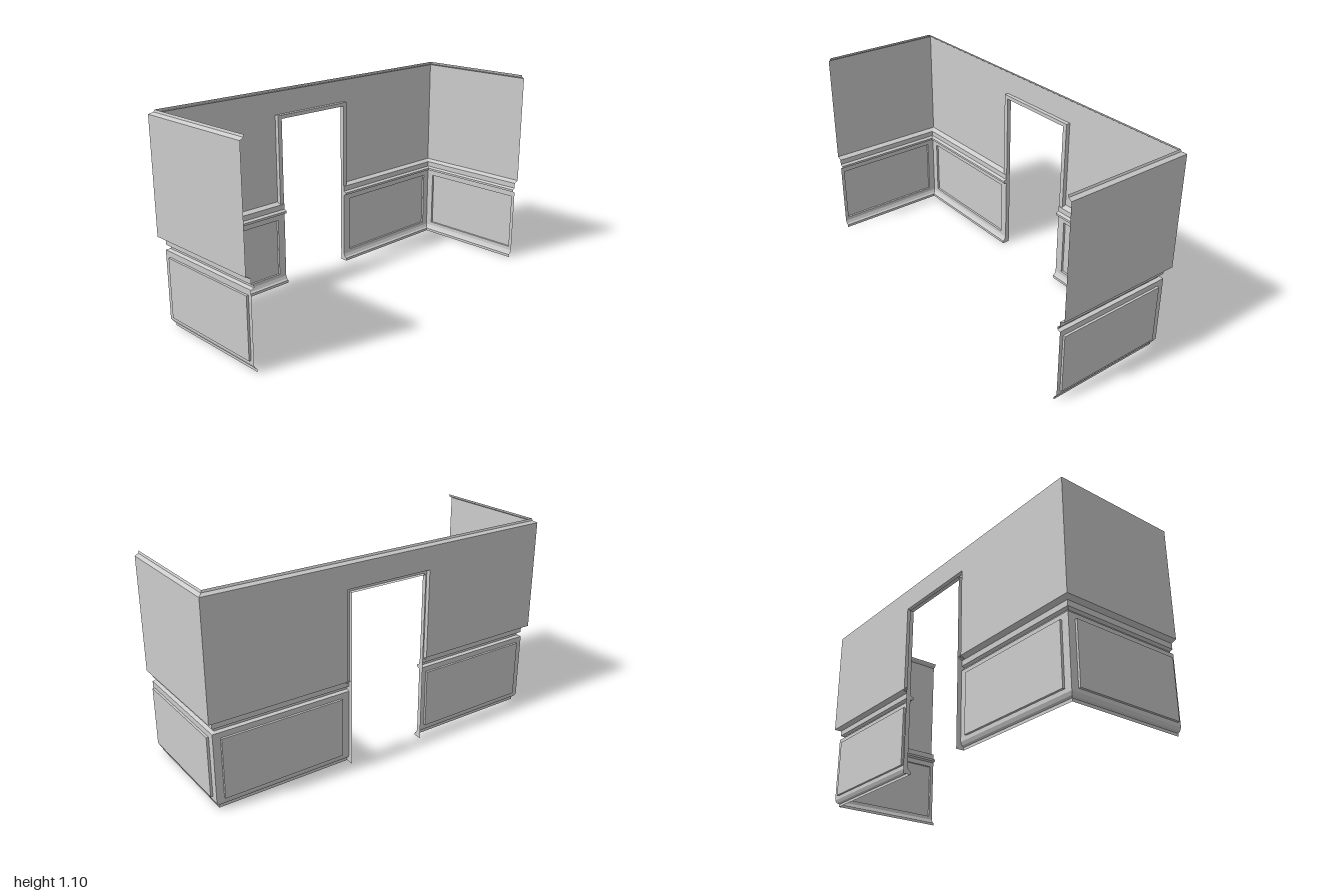
import * as THREE from 'three';

const FRONT = 0.345, BACK = -0.345;      // depth limits of the walls
const DOOR = 0.225, TRIM = 0.25;         // half widths of the opening and its casing
const DOOR_TOP = 0.93, TRIM_TOP = 0.95, TRIM_Z = -0.322;
const WALL_LOW = 0.471, WALL_TOP = 1.073;

// Profiles as [distance into the room, height]
const crown = [[0, WALL_TOP], [0.014, 1.081], [0.018, 1.084], [0.022, 1.095]];
const rail = [[0, WALL_LOW], [0.027, 0.459], [0.027, 0.43], [0.043, 0.422], [0.043, 0.41], [0.025, 0.404]];
const skirting = [[0.025, 0.038], [0.033, 0.022], [0.043, 0.015], [0.043, 0]];

const material = new THREE.MeshStandardMaterial({ color: 0xcccccc, side: THREE.DoubleSide, flatShading: true });

// Thin sheet from rows of points, joined row to row
function sheet(name, rows) {
  const pos = [];
  for (let r = 0; r + 1 < rows.length; r++) {
    for (let i = 0; i + 1 < rows[r].length; i++) {
      const a = rows[r][i], b = rows[r][i + 1], c = rows[r + 1][i + 1], d = rows[r + 1][i];
      pos.push(...a, ...b, ...c, ...a, ...c, ...d);
    }
  }
  const geometry = new THREE.BufferGeometry();
  geometry.setAttribute('position', new THREE.Float32BufferAttribute(pos, 3));
  geometry.computeVertexNormals();
  const mesh = new THREE.Mesh(geometry, material);
  mesh.name = name;
  return mesh;
}

// Moulding run along one side wall, round the mitred corner to x = end
function moulding(name, side, profile, end) {
  return sheet(name, profile.map(([d, y]) => [
    [side * (1 - d), y, FRONT],
    [side * (1 - d), y, BACK + d],
    [side * end, y, BACK + d],
  ]));
}

// Wainscot with a sunk rectangular panel; place(u, y, depth) maps onto a wall
function panelledWall(name, place, [u0, u1], [p0, p1]) {
  const rect = (a, b, low, high, d) =>
    [[a, low], [b, low], [b, high], [a, high], [a, low]].map(([u, y]) => place(u, y, d));
  const group = new THREE.Group();
  group.name = name;
  group.add(sheet('panelSurround', [
    rect(u0, u1, 0.038, 0.404, 0.025),
    rect(p0, p1, 0.058, 0.375, 0.025),
    rect(p0, p1, 0.058, 0.375, 0.013),
  ]));
  group.add(sheet('sunkPanel', [0.058, 0.375].map((y) => [place(p0, y, 0.013), place(p1, y, 0.013)])));
  return group;
}

export function createModel() {
  const model = new THREE.Group();
  model.name = 'panelledRoomWalls';

  for (const side of [1, -1]) {
    const half = new THREE.Group();
    half.name = side > 0 ? 'leftHalf' : 'rightHalf';

    // Plain upper walls
    half.add(moulding('upperWall', side, [[0, WALL_TOP], [0, WALL_LOW]], TRIM));

    // Crown, chair rail and skirting
    half.add(moulding('crown', side, crown, 0));
    half.add(moulding('chairRail', side, rail, DOOR));
    half.add(moulding('skirting', side, skirting, DOOR));

    // Wainscot on the side and back walls
    half.add(panelledWall('sideWainscot', (u, y, d) => [side * (1 - d), y, u], [BACK + 0.025, FRONT], [-0.281, 0.325]));
    half.add(panelledWall('backWainscot', (u, y, d) => [side * u, y, BACK + d], [DOOR, 0.975], [0.27, 0.935]));

    // Lower door jamb, closing the end of the wainscot
    half.add(sheet('lowerJamb', [...rail, ...skirting].map(([d, y]) => [
      [side * DOOR, y, BACK], [side * DOOR, y, BACK + d],
    ])));
    model.add(half);
  }

  // Wall above the doorway
  model.add(sheet('doorHeader', [WALL_TOP, TRIM_TOP].map((y) => [[-TRIM, y, BACK], [TRIM, y, BACK]])));

  // Raised casing around the doorway
  const casing = [[TRIM, TRIM_TOP, BACK], [TRIM, TRIM_TOP, TRIM_Z], [DOOR, DOOR_TOP, TRIM_Z], [DOOR, DOOR_TOP, BACK]];
  model.add(sheet('doorCasing', casing.map(([x, top, z]) => [
    [-x, 0.459, z], [-x, top, z], [x, top, z], [x, 0.459, z],
  ])));

  return model;
}
